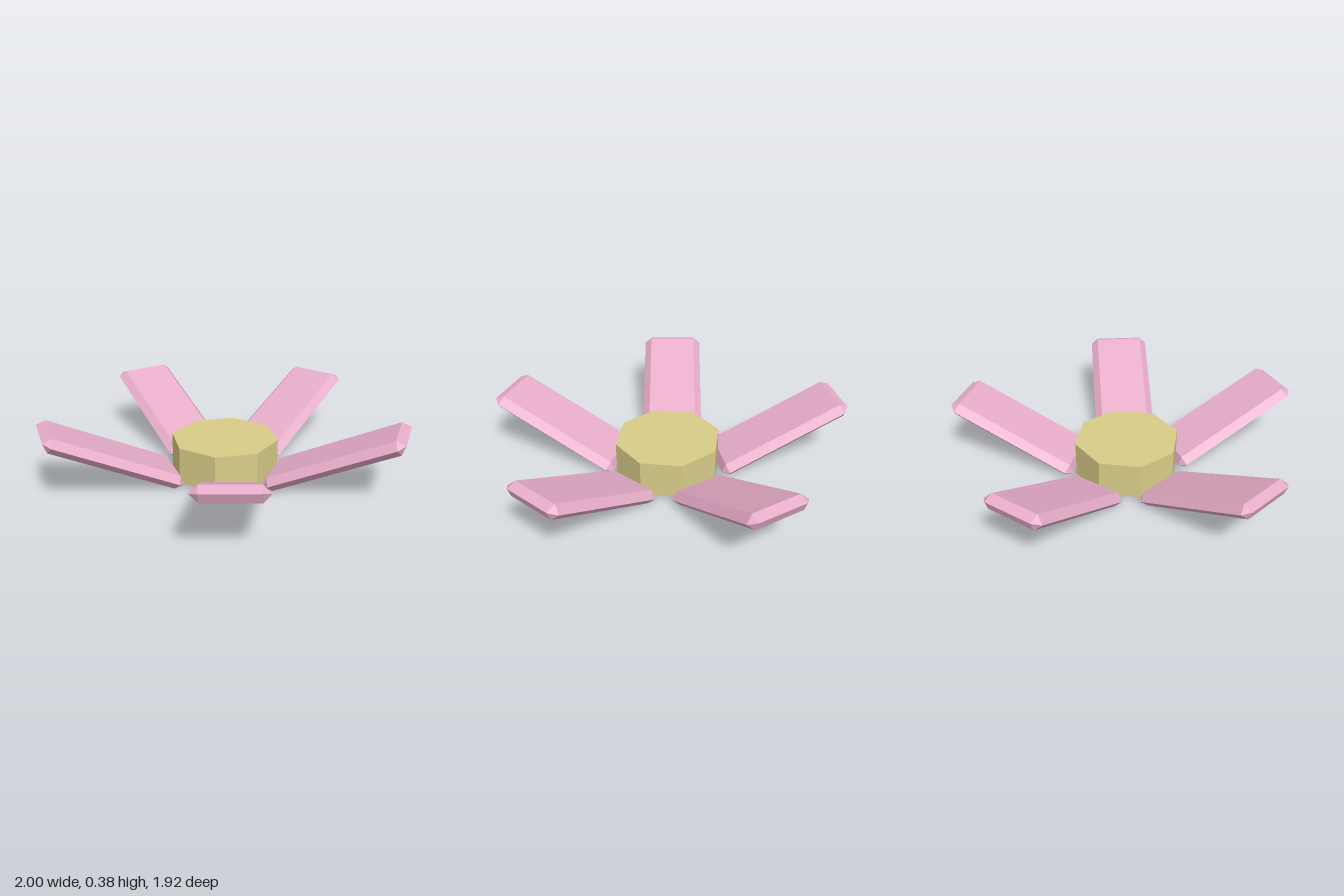
import * as THREE from 'three';
import { ConvexGeometry } from 'three/addons/geometries/ConvexGeometry.js';

// Slab chamfered on every edge; the chamfers meet at mid thickness
function chamferedSlab(length, width, thickness) {
  const x = length / 2, z = width / 2, c = thickness / 2;
  const points = [];
  for (const sx of [-1, 1]) for (const sz of [-1, 1]) {
    points.push(
      new THREE.Vector3(sx * x, 0, sz * (z - c)),
      new THREE.Vector3(sx * (x - c), 0, sz * z),
      new THREE.Vector3(sx * (x - c), c, sz * (z - c)),
      new THREE.Vector3(sx * (x - c), -c, sz * (z - c)),
    );
  }
  return new ConvexGeometry(points);
}

export function createModel() {
  const model = new THREE.Group();
  model.name = 'flower';
  const pink = new THREE.MeshStandardMaterial({ color: 0xe6acc8, flatShading: true });
  const yellow = new THREE.MeshStandardMaterial({ color: 0xd9cc88, flatShading: true });

  // Eight-sided flower centre
  const centre = new THREE.Mesh(new THREE.CylinderGeometry(0.3, 0.3, 0.205, 8), yellow);
  centre.name = 'flowerCentre';
  centre.position.set(0, 0.113, 0.05);
  model.add(centre);

  // Petals rising outwards: name, x, z, heading in degrees
  const petalGeometry = chamferedSlab(0.8, 0.36, 0.08);
  const petals = [
    ['backPetal', 0.03, -0.595, 87.4],
    ['leftPetal', 0.612, -0.14, 15.5],
    ['rightPetal', -0.612, -0.14, 164.5],
    ['frontLeftPetal', 0.353, 0.578, -55],
    ['frontRightPetal', -0.353, 0.578, -125],
  ];
  for (const [name, x, z, heading] of petals) {
    const petal = new THREE.Mesh(petalGeometry, pink);
    petal.name = name;
    petal.position.set(x, 0.189, z);
    petal.rotation.set(0, THREE.MathUtils.degToRad(heading), THREE.MathUtils.degToRad(25), 'YZX');
    model.add(petal);
  }
  return model;
}
